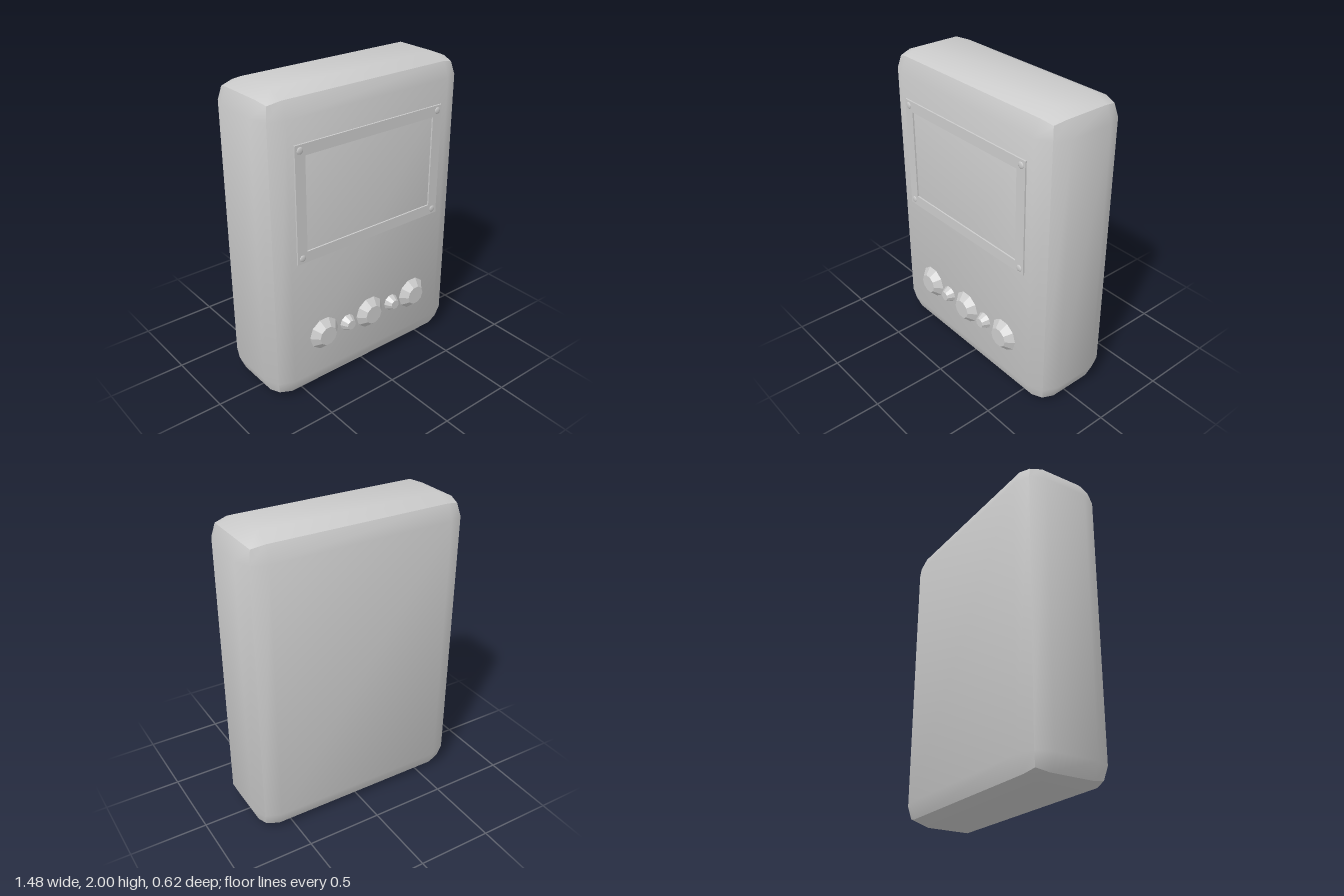
import * as THREE from 'three';
import { RoundedBoxGeometry } from 'three/addons/geometries/RoundedBoxGeometry.js';
import { toCreasedNormals } from 'three/addons/utils/BufferGeometryUtils.js';

const FRONT = 0.262; // z of the casing's front face

export function createModel() {
  const model = new THREE.Group();
  model.name = 'handheldDevice';
  const smooth = new THREE.MeshStandardMaterial({ color: 0xcccccc });
  const flat = new THREE.MeshStandardMaterial({ color: 0xcccccc, flatShading: true });

  const add = (name, geometry, material, x, y, z) => {
    const mesh = new THREE.Mesh(geometry, material);
    mesh.name = name;
    mesh.position.set(x, y, z);
    model.add(mesh);
    return mesh;
  };

  // Casing: two-step bevel on every edge, creased along the middle of the bevel
  const depth = 0.57;
  const casing = toCreasedNormals(new RoundedBoxGeometry(1.48, 2, depth, 1, 0.14), 0.6);
  add('casing', casing, smooth, 0, 1, FRONT - depth / 2);

  // Screen frame: thin plate with a rectangular opening
  const rectangle = (Type, w, h) => {
    const path = new Type();
    path.moveTo(-w / 2, -h / 2);
    path.lineTo(w / 2, -h / 2);
    path.lineTo(w / 2, h / 2);
    path.lineTo(-w / 2, h / 2);
    path.closePath();
    return path;
  };
  const frameShape = rectangle(THREE.Shape, 1.11, 0.74);
  frameShape.holes.push(rectangle(THREE.Path, 0.97, 0.6));
  const frameX = -0.005, frameY = 1.34, frameDepth = 0.01;
  const frame = new THREE.ExtrudeGeometry(frameShape, { depth: frameDepth, bevelEnabled: false });
  add('screenFrame', frame, flat, frameX, frameY, FRONT);

  // Low domed screws in the frame corners
  const dome = new THREE.SphereGeometry(0.022, 12, 4, 0, Math.PI * 2, 0, Math.PI / 2);
  dome.scale(1, 0.3, 1).rotateX(Math.PI / 2);
  for (const sx of [-1, 1]) {
    for (const sy of [-1, 1]) {
      add('frameScrew', dome, smooth, frameX + sx * 0.52, frameY + sy * 0.335, FRONT + frameDepth);
    }
  }

  // Ten-sided tapered buttons, large and small alternating
  const height = 0.046;
  const button = (name, x, top, base) => {
    const geometry = new THREE.CylinderGeometry(top, base, height, 10);
    geometry.rotateY(Math.PI / 2).rotateX(Math.PI / 2);
    add(name, geometry, flat, x, 0.41, FRONT + height / 2);
  };
  for (const x of [-0.37, 0, 0.37]) button('largeButton', x, 0.064, 0.11);
  for (const x of [-0.185, 0.185]) button('smallButton', x, 0.032, 0.056);

  return model;
}
